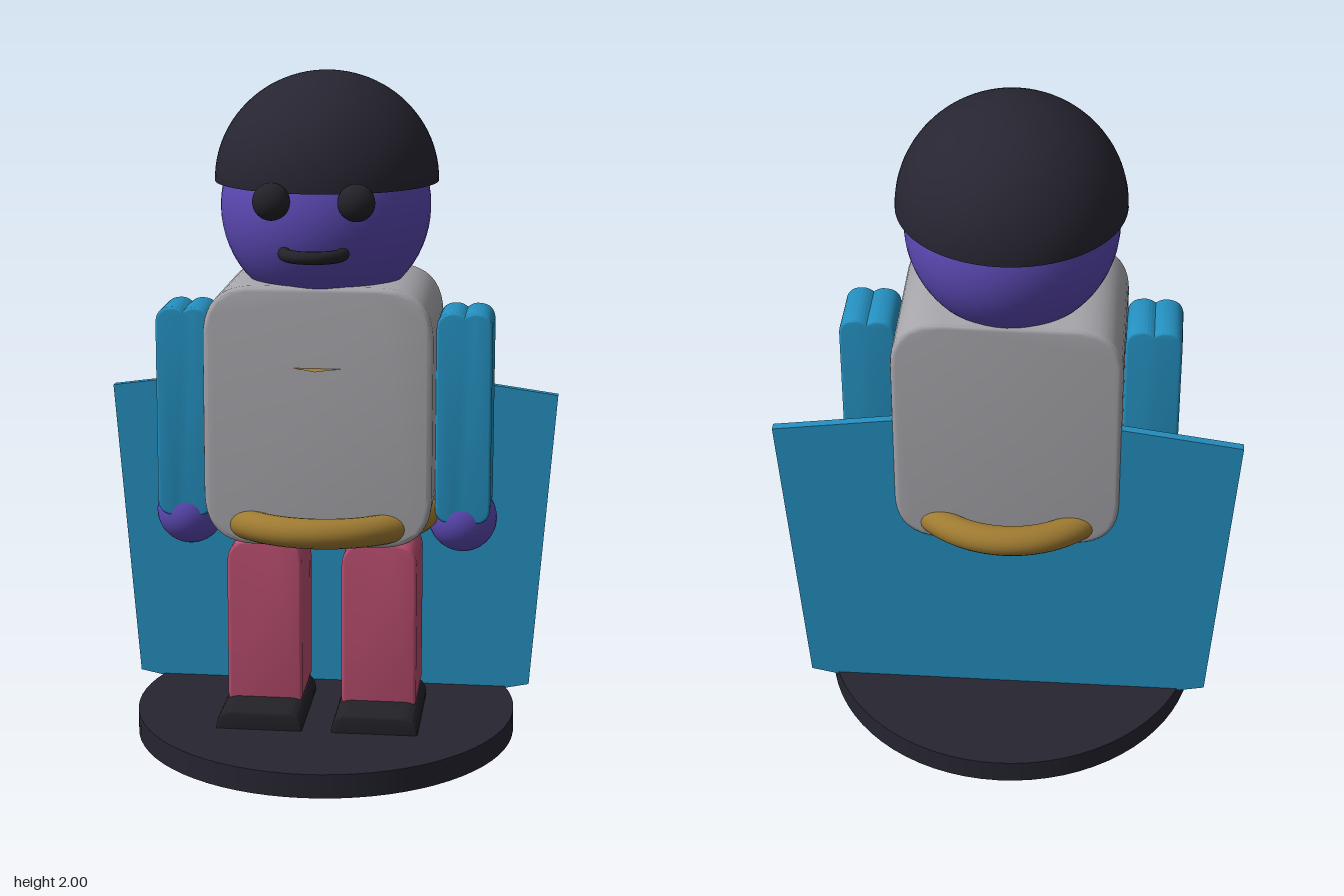
import * as THREE from 'three';
import { toCreasedNormals } from 'three/addons/utils/BufferGeometryUtils.js';

const mat = (name, color, side = THREE.FrontSide) => {
  const m = new THREE.MeshStandardMaterial({ color, side });
  m.name = name;
  return m;
};

// Rounded rectangle outline, centred on x = 0, from y0 to y1; rb and rt are corner radii
function roundedRect(w, y0, y1, rb, rt) {
  const s = new THREE.Shape(), h = w / 2;
  s.moveTo(-h + rb, y0);
  s.lineTo(h - rb, y0);
  s.quadraticCurveTo(h, y0, h, y0 + rb);
  s.lineTo(h, y1 - rt);
  s.quadraticCurveTo(h, y1, h - rt, y1);
  s.lineTo(-h + rt, y1);
  s.quadraticCurveTo(-h, y1, -h, y1 - rt);
  s.lineTo(-h, y0 + rb);
  s.quadraticCurveTo(-h, y0, -h + rb, y0);
  return s;
}

// Sleeve outline with a shallow crease in the middle of both ends
function sleeveShape(w, y0, y1) {
  const s = new THREE.Shape(), h = w / 2, r = 0.05, d = 0.012;
  s.moveTo(0, y0 + d);
  s.quadraticCurveTo(0.015, y0, h - r, y0);
  s.quadraticCurveTo(h, y0, h, y0 + r);
  s.lineTo(h, y1 - r);
  s.quadraticCurveTo(h, y1, h - r, y1);
  s.quadraticCurveTo(0.015, y1, 0, y1 - d);
  s.quadraticCurveTo(-0.015, y1, -h + r, y1);
  s.quadraticCurveTo(-h, y1, -h, y1 - r);
  s.lineTo(-h, y0 + r);
  s.quadraticCurveTo(-h, y0, -h + r, y0);
  s.quadraticCurveTo(-0.015, y0, 0, y0 + d);
  return s;
}

// Extrude from z0 to z1 with a small bevel that stays inside the outline
function slab(shape, z0, z1, bevel) {
  const g = new THREE.ExtrudeGeometry(shape, {
    depth: z1 - z0 - 2 * bevel, curveSegments: 10, bevelEnabled: bevel > 0,
    bevelThickness: bevel, bevelSize: bevel, bevelOffset: -bevel, bevelSegments: 3,
  });
  g.translate(0, 0, z0 + bevel);
  return toCreasedNormals(g, 0.6);
}

export function createModel() {
  const model = new THREE.Group();
  const dark = mat('charcoal', 0x262531);
  const darkOpen = mat('charcoalShell', 0x262531, THREE.DoubleSide);
  const black = mat('black', 0x222228);
  const skin = mat('purple', 0x5c49b4);
  const grey = mat('grey', 0xa6a5aa);
  const blue = mat('blue', 0x248fbf);
  const pink = mat('rose', 0xb84d6e);
  const gold = mat('gold', 0xa07c32);
  const goldFlat = mat('goldPlate', 0xa07c32, THREE.DoubleSide);

  const add = (name, geometry, material, x = 0, y = 0, z = 0) => {
    const m = new THREE.Mesh(geometry, material);
    m.name = name;
    m.position.set(x, y, z);
    model.add(m);
    return m;
  };

  // Stand
  add('base', new THREE.CylinderGeometry(0.58, 0.58, 0.07, 72), dark, 0, 0.085).scale.x = 0.966;

  // Cape
  const cape = new THREE.Shape([
    [0, 0.005], [0.6, 0.13], [0.67, 1.035], [0.27, 1.09],
    [-0.27, 1.09], [-0.67, 1.035], [-0.6, 0.13],
  ].map(([x, y]) => new THREE.Vector2(x, y)));
  add('cape', slab(cape, -0.22, -0.195, 0), blue);

  // Body and belt
  add('torso', slab(roundedRect(0.65, 0.67, 1.42, 0.15, 0.15), -0.23, 0.23, 0.015), grey);
  const belt = new THREE.TorusGeometry(0.297, 0.043, 20, 72);
  belt.rotateX(Math.PI / 2);
  add('belt', belt, gold, 0, 0.728);

  // Level chest tab
  const tab = new THREE.ShapeGeometry(new THREE.Shape([
    new THREE.Vector2(-0.08, -0.22), new THREE.Vector2(0, -0.28), new THREE.Vector2(0.08, -0.22),
  ]));
  tab.rotateX(-Math.PI / 2);
  add('chestTab', tab, goldFlat, 0, 1.19);

  // Limbs, mirrored
  const sleeve = slab(sleeveShape(0.16, 0.71, 1.33), -0.09, 0.09, 0.008);
  const leg = slab(roundedRect(0.22, 0.15, 0.65, 0.03, 0.07), -0.12, 0.12, 0.008);
  const foot = slab(roundedRect(0.25, 0.11, 0.172, 0.005, 0.05), -0.11, 0.255, 0.006);
  const hand = new THREE.SphereGeometry(0.1, 32, 24);
  const eye = new THREE.SphereGeometry(0.052, 28, 20);
  for (const [side, s] of [['left', 1], ['right', -1]]) {
    add(side + 'Arm', sleeve, blue, s * 0.405);
    add(side + 'Hand', hand, skin, s * 0.402, 0.708);
    add(side + 'Leg', leg, pink, s * 0.168);
    add(side + 'Foot', foot, black, s * 0.168);
    add(side + 'Eye', eye, black, s * 0.117, 1.668, 0.304).scale.z = 0.82;
  }

  // Head, helmet and mouth
  add('head', new THREE.SphereGeometry(0.3, 48, 32), skin, 0, 1.62).scale.z = 1.03;
  const dome = new THREE.SphereGeometry(1, 56, 24, 0, Math.PI * 2, 0, Math.PI / 2);
  dome.scale(0.32, 0.31, 0.33);
  add('helmet', dome, darkOpen, 0, 1.69, -0.022);
  const mouth = new THREE.TorusGeometry(0.081, 0.018, 14, 32, Math.PI);
  mouth.rotateX(Math.PI / 2);
  add('mouth', mouth, black, 0, 1.527, 0.303);

  return model;
}
